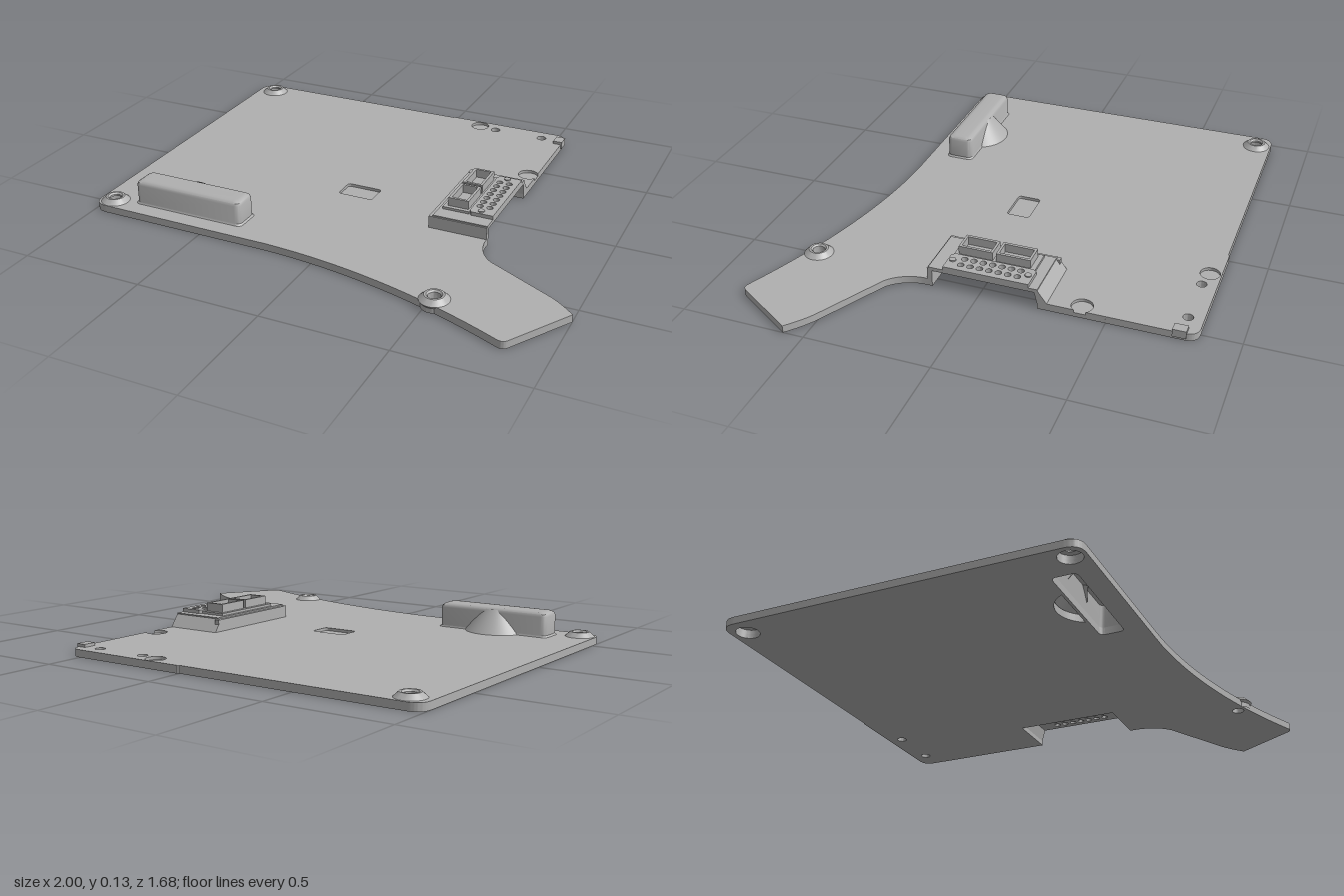
import * as THREE from 'three';
import { toCreasedNormals } from 'three/addons/utils/BufferGeometryUtils.js';

export function createModel() {
  const model = new THREE.Group();
  const grey = new THREE.MeshStandardMaterial({ color: 0xb0b0b0 });
  const greyThin = grey;
  greyThin.side = THREE.DoubleSide;

  function add(name, geometry, x = 0, y = 0, z = 0) {
    const mesh = new THREE.Mesh(geometry, grey);
    mesh.name = name;
    mesh.position.set(x, y, z);
    model.add(mesh);
    return mesh;
  }
  // Box given by its limits
  const block = (name, x0, x1, y0, y1, z0, z1) =>
    add(name, new THREE.BoxGeometry(x1 - x0, y1 - y0, z1 - z0), (x0 + x1) / 2, (y0 + y1) / 2, (z0 + z1) / 2);
  // Flat slab drawn in x,z between two heights
  function slab(name, shape, y0, y1) {
    const g = new THREE.ExtrudeGeometry(shape, { depth: y1 - y0, bevelEnabled: false, curveSegments: 16 });
    g.rotateX(Math.PI / 2);
    return add(name, toCreasedNormals(g, 0.5), 0, y1, 0);
  }
  const circle = (x, z, r) => new THREE.Path().absarc(x, z, r, 0, Math.PI * 2, true);
  const poly = pts => pts.map(p => new THREE.Vector2(...p));
  const rect = (x0, x1, z0, z1) => poly([[x0, z0], [x1, z0], [x1, z1], [x0, z1]]);

  // Rounded rectangle as a list of [x, z]
  function ring(hx, hz, r) {
    const pts = [];
    for (let c = 0; c < 4; c++) {
      const sx = c === 0 || c === 3 ? 1 : -1, sz = c < 2 ? 1 : -1;
      for (let i = 0; i <= 4; i++) {
        const a = (c + i / 4) * Math.PI / 2;
        pts.push([sx * (hx - r) + r * Math.cos(a), sz * (hz - r) + r * Math.sin(a)]);
      }
    }
    return pts;
  }
  // Skin through rounded rectangles [hx, hz, r, y]
  function loft(levels) {
    const pos = [], index = [], n = 20;
    levels.forEach(([hx, hz, r, y]) => ring(hx, hz, r).forEach(([x, z]) => pos.push(x, y, z)));
    for (let i = 0; i < levels.length - 1; i++) {
      for (let j = 0; j < n; j++) {
        const a = i * n + j, b = i * n + (j + 1) % n;
        index.push(a, a + n, b, b, a + n, b + n);
      }
    }
    const g = new THREE.BufferGeometry();
    g.setAttribute('position', new THREE.Float32BufferAttribute(pos, 3));
    g.setIndex(index);
    return toCreasedNormals(g, 0.6);
  }

  const bosses = [[-0.92, -0.775, 0.045], [-0.935, 0.525, 0.045], [0.53, 0.685, 0.024]];
  const hump = { x: -0.6, z: 0.457 };

  // Base plate outline with the connector notch and curved front arm
  function plateShape(upper) {
    const s = new THREE.Shape();
    s.moveTo(-1, -0.78);
    s.quadraticCurveTo(-1, -0.84, -0.94, -0.84);
    s.lineTo(0, -0.84);
    s.lineTo(0.005, -0.845);
    s.lineTo(0.5, -0.845);
    s.quadraticCurveTo(0.55, -0.845, 0.55, -0.79);
    if (upper) s.absarc(0.515, -0.4, 0.042, -0.586, 0.586, true);
    for (const p of [[0.55, -0.235], [0.33, -0.235], [0.33, 0.19], [0.55, 0.19], [0.55, 0.23]]) s.lineTo(...p);
    s.quadraticCurveTo(0.56, 0.315, 0.62, 0.36);
    s.lineTo(0.9, 0.505);
    s.quadraticCurveTo(0.95, 0.535, 1, 0.582);
    s.lineTo(0.85, 0.825);
    s.quadraticCurveTo(0.837, 0.845, 0.81, 0.832);
    s.quadraticCurveTo(0.3, 0.61, -0.2, 0.59);
    s.lineTo(-0.94, 0.585);
    s.quadraticCurveTo(-1, 0.585, -1, 0.525);
    s.closePath();
    for (const b of bosses) s.holes.push(circle(...b));
    s.holes.push(circle(0.23, -0.785, 0.02), circle(0.45, -0.785, 0.02));
    s.holes.push(new THREE.Path(ring(0.232, 0.048, 0.018).map(([x, z]) => new THREE.Vector2(x + hump.x, z + hump.z))));
    const dome = new THREE.Path();
    dome.absarc(hump.x, 0.46, 0.128, Math.PI + 0.51, Math.PI * 2 - 0.51, false);
    s.holes.push(dome);
    if (upper) {
      s.holes.push(circle(0.15, -0.8, 0.039));
      s.holes.push(new THREE.Path(ring(0.075, 0.048, 0.012).map(([x, z]) => new THREE.Vector2(x - 0.065, z + 0.042))));
    }
    return s;
  }
  slab('lowerPlate', plateShape(false), 0, 0.018);
  slab('upperPlate', plateShape(true), 0.018, 0.03);

  // Raised screw bosses
  bosses.forEach(([x, z, r]) => {
    const profile = poly([[r, 0], [r, 0.034], [0.024, 0.035], [0.024, 0.042], [0.03, 0.049], [0.038, 0.049], [0.058, 0.03]]);
    if (r < 0.03) profile.push(new THREE.Vector2(0.05, 0.02), new THREE.Vector2(0.05, 0));
    add('screwBoss', toCreasedNormals(new THREE.LatheGeometry(profile, 32), 0.5), x, 0, z);
  });

  // Hollow long housing with rounded top
  add('longHousing', loft([
    [0.246, 0.06, 0.022, 0.03], [0.24, 0.056, 0.022, 0.037], [0.24, 0.056, 0.022, 0.112],
    [0.236, 0.052, 0.02, 0.122], [0.226, 0.042, 0.018, 0.129], [0.215, 0.03, 0.015, 0.13], [0.18, 0, 0, 0.13],
  ]), hump.x, 0, hump.z);
  add('longHousingInside', loft([
    [0.18, 0, 0, 0.118], [0.225, 0.042, 0.018, 0.118], [0.232, 0.048, 0.018, 0.03],
  ]), hump.x, 0, hump.z);
  // Conical bulge behind the housing
  add('conicalBulge', new THREE.CylinderGeometry(0.06, 0.134, 0.094, 24, 1, true, Math.PI - 1.1, 2.2), hump.x, 0.076, 0.46);

  // Connector cover: perforated roof and surrounding walls
  const pins = [];
  for (let i = 0; i < 7; i++) for (const x of [0.475, 0.515]) pins.push([x, -0.144 + i * 0.038]);
  const perforate = shape => {
    pins.forEach(([x, z]) => shape.holes.push(circle(x, z, 0.013)));
    return shape;
  };
  slab('connectorRoof', perforate(new THREE.Shape(rect(0.325, 0.55, -0.235, 0.205))), 0.07, 0.085);
  block('connectorSideWall', 0.31, 0.33, 0.02, 0.079, -0.25, 0.21);
  block('connectorFrontWall', 0.31, 0.55, 0.02, 0.08, 0.19, 0.21);
  const slope = new THREE.ExtrudeGeometry(
    new THREE.Shape(poly([[0.235, 0.02], [0.272, 0.03], [0.235, 0.08], [0.22, 0.08]])),
    { depth: 0.24, bevelEnabled: false });
  slope.rotateY(Math.PI / 2);
  add('connectorBackSlope', slope, 0.31, 0, 0);

  // Pin strip with end dimples
  slab('pinStrip', perforate(new THREE.Shape(poly([
    [0.46, -0.2], [0.55, -0.2], [0.55, 0.145], [0.46, 0.145], [0.45, 0.13], [0.45, -0.185]]))), 0.085, 0.1);
  for (const z of [-0.18, 0.125]) add('pinStripStud', new THREE.CylinderGeometry(0.013, 0.013, 0.006, 16), 0.495, 0.102, z);

  // Socket made of two open frames on a low base
  block('socketBase', 0.34, 0.45, 0.085, 0.095, -0.19, 0.14);
  for (const [z0, z1] of [[-0.17, -0.03], [-0.017, 0.123]]) {
    const frame = new THREE.Shape(rect(0.356, 0.441, z0, z1));
    frame.holes.push(new THREE.Path(rect(0.368, 0.43, z0 + 0.01, z1 - 0.01)));
    slab('socketFrame', frame, 0.095, 0.13);
  }

  // Small clip at the back corner
  block('edgeClip', 0.515, 0.555, 0.01, 0.042, -0.803, -0.75);
  return model;
}
